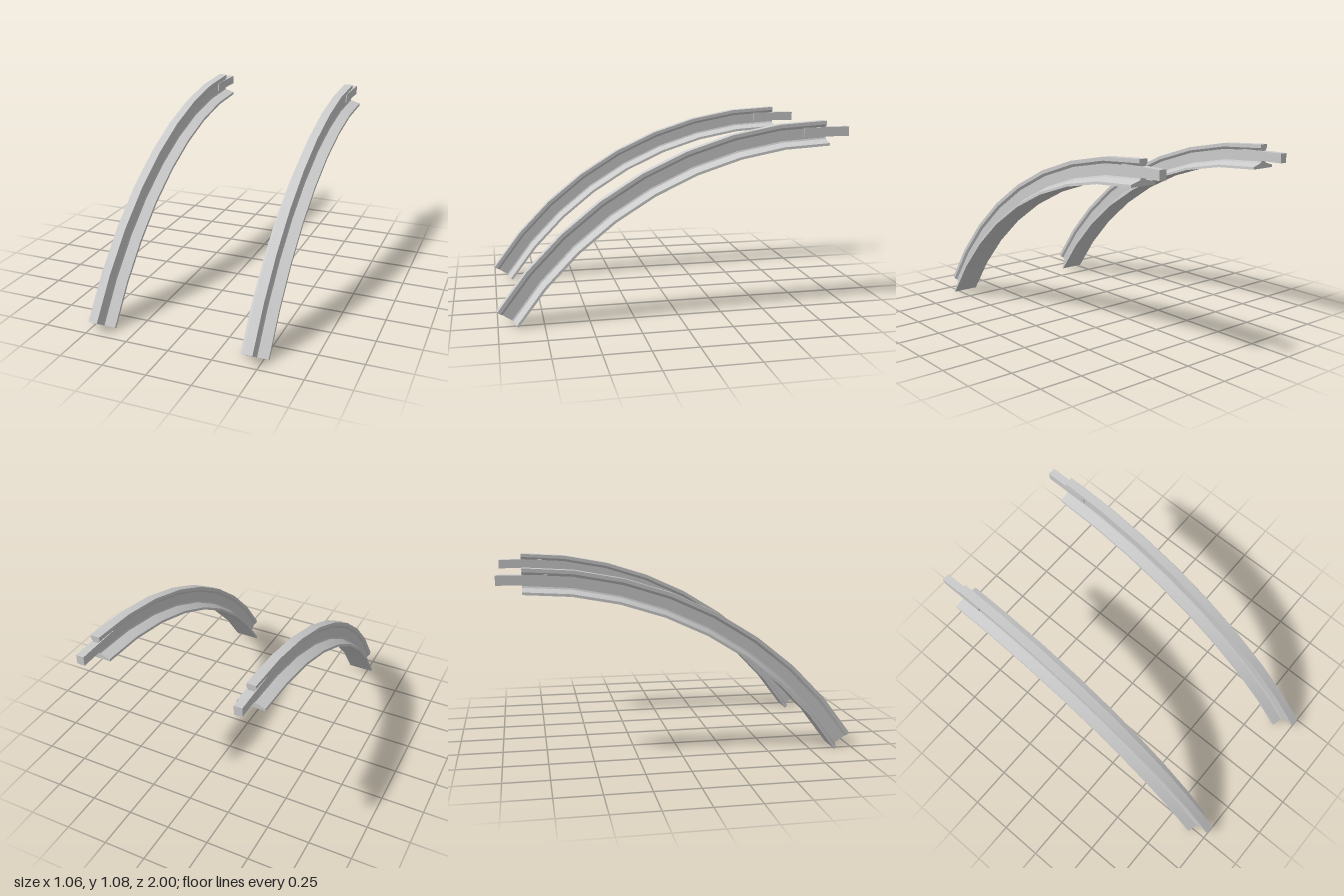
import * as THREE from 'three';
import { toCreasedNormals } from 'three/addons/utils/BufferGeometryUtils.js';

const RADIUS = 2.235, HEIGHT = 0.134, END_Z = -0.862, TOP_Y = 1.077;
const SWEEP = THREE.MathUtils.degToRad(56.5);

// Rail section: half outline (x, height above foot), mirrored to close it
function railShape() {
  const half = [
    [0.079, 0], [0.078, 0.014], [0.02, 0.031], [0.016, 0.04],
    [0.016, 0.1], [0.026, 0.114], [0.026, HEIGHT],
  ];
  const mirrored = half.map(([x, y]) => [-x, y]).reverse();
  return new THREE.Shape([...half, ...mirrored].map(([x, y]) => new THREE.Vector2(x, y)));
}

// Extrude the section in eight steps, then bend it along the arc
function railGeometry() {
  const geo = new THREE.ExtrudeGeometry(railShape(), { depth: 1, steps: 8, bevelEnabled: false });
  const p = geo.attributes.position;
  for (let i = 0; i < p.count; i++) {
    const angle = p.getZ(i) * SWEEP;
    const r = RADIUS - HEIGHT + p.getY(i);
    p.setY(i, TOP_Y - RADIUS + r * Math.cos(angle));
    p.setZ(i, END_Z + r * Math.sin(angle));
  }
  return toCreasedNormals(geo, 0.2);
}

export function createModel() {
  const model = new THREE.Group();
  const material = new THREE.MeshStandardMaterial({ color: 0xcccccc });
  const bent = railGeometry();
  const tongue = new THREE.BoxGeometry(0.045, 0.053, 0.27);

  for (const [side, x] of [['left', 0.45], ['right', -0.45]]) {
    const group = new THREE.Group();
    group.name = side + 'Rail';
    group.position.x = x;

    const rail = new THREE.Mesh(bent, material);
    rail.name = 'curvedRail';

    // Connector tongue sticking out of the upper end
    const connector = new THREE.Mesh(tongue, material);
    connector.name = 'connectorTongue';
    connector.position.set(0, 1.014, -0.865);

    group.add(rail, connector);
    model.add(group);
  }
  return model;
}
